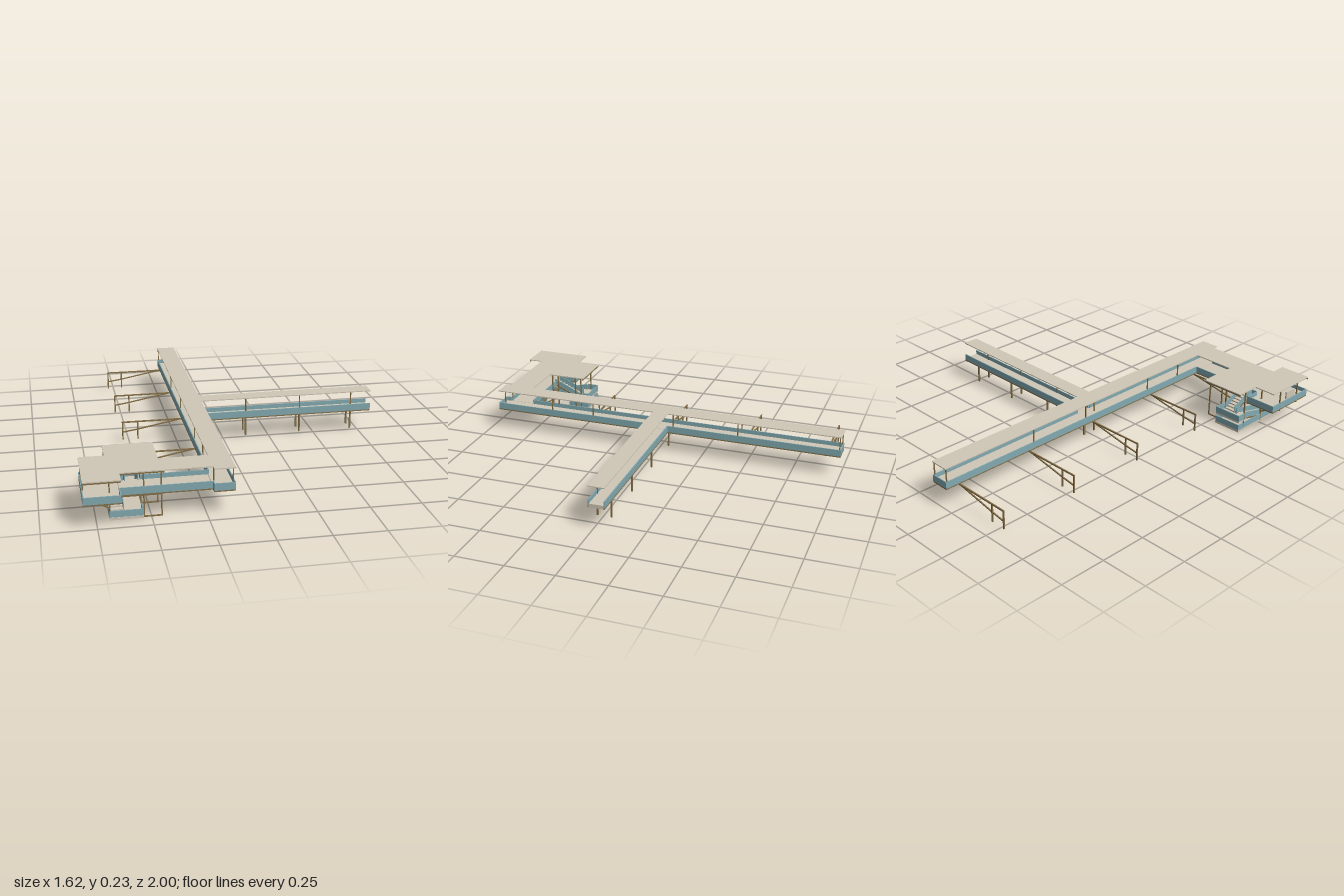
import * as THREE from 'three';

const mat = (name, color) => {
  const m = new THREE.MeshStandardMaterial({ color });
  m.name = name;
  return m;
};

export function createModel() {
  const root = new THREE.Group();
  root.name = 'elevatedWalkway';
  const slabTan = mat('slabTan', 0xcfc7b5);
  const teal = mat('panelTeal', 0x81a9b0);
  const brown = mat('steelBrown', 0x857048);

  const add = (name, geo, material) => {
    const m = new THREE.Mesh(geo, material);
    m.name = name;
    root.add(m);
    return m;
  };
  // Box given by its limits on each axis
  const box = (name, material, x0, x1, y0, y1, z0, z1) => {
    const g = new THREE.BoxGeometry(x1 - x0, y1 - y0, z1 - z0);
    g.translate((x0 + x1) / 2, (y0 + y1) / 2, (z0 + z1) / 2);
    return add(name, g, material);
  };
  const post = (name, x, z, y0, y1, t = 0.006) =>
    box(name, brown, x - t / 2, x + t / 2, y0, y1, z - t / 2, z + t / 2);
  // Square bar between two points in a plane of constant z
  const bar = (name, x0, y0, x1, y1, z, t = 0.006) => {
    const m = add(name, new THREE.BoxGeometry(Math.hypot(x1 - x0, y1 - y0), t, t), brown);
    m.position.set((x0 + x1) / 2, (y0 + y1) / 2, z);
    m.rotation.z = Math.atan2(y1 - y0, x1 - x0);
  };

  const DECK = 0.114, FLOOR = 0.132, RAIL = 0.154, ROOF = 0.222, TOP = 0.227;

  // Decks and roofs: x0, x1, z0, z1
  const mainRun = [-0.22, -0.12, -1, 0.95];
  const branch = [-0.12, 0.81, -0.06, 0.025];
  const link = [-0.64, -0.22, 0.78, 0.92];
  const landing = [-0.81, -0.64, 0.7, 1];
  const IN = 0.001;
  for (const [x0, x1, z0, z1] of [mainRun, branch, link, landing]) {
    box('deck', slabTan, x0 + IN, x1 - IN, DECK, FLOOR, z0 + IN, z1 - IN);
    box('roof', slabTan, x0, x1, ROOF, TOP, z0, z1);
  }
  box('stairRoof', slabTan, -0.69, -0.45, ROOF, TOP, 0.57, 0.78);
  // Thicker fascia under the landing and stair roofs
  box('roofEdge', brown, -0.81, -0.64, 0.215, ROOF, 0.994, 1);
  box('roofEdge', brown, -0.64, -0.44, 0.215, ROOF, 0.914, 0.92);
  box('roofEdge', brown, -0.69, -0.45, 0.215, ROOF, 0.57, 0.576);

  // Parapet panels with a beam along the deck edge
  const T = 0.005;
  const parapet = (x0, z0, x1, z1) => {
    const ex = x0 === x1 ? T / 2 : 0, ez = z0 === z1 ? T / 2 : 0;
    box('parapetPanel', teal, x0 - ex, x1 + ex, DECK + 0.005, RAIL, z0 - ez, z1 + ez);
    box('edgeBeam', brown, x0 - ex, x1 + ex, DECK - 0.001, DECK + 0.005, z0 - ez, z1 + ez);
  };
  parapet(-0.2175, -1, -0.2175, 0.78);
  parapet(-0.2175, 0.92, -0.2175, 0.95);
  parapet(-0.1225, -1, -0.1225, -0.06);
  parapet(-0.1225, 0.025, -0.1225, 0.95);
  parapet(-0.22, 0.9475, -0.12, 0.9475);
  parapet(-0.22, -0.9975, -0.12, -0.9975);
  parapet(-0.12, -0.0575, 0.81, -0.0575);
  parapet(-0.12, 0.0225, 0.81, 0.0225);
  parapet(-0.64, 0.9175, -0.22, 0.9175);
  parapet(-0.535, 0.7825, -0.22, 0.7825);
  parapet(-0.64, 0.7825, -0.612, 0.7825);
  parapet(-0.8075, 0.7, -0.8075, 1);
  parapet(-0.81, 0.9975, -0.64, 0.9975);
  parapet(-0.81, 0.7025, -0.64, 0.7025);
  parapet(-0.6425, 0.92, -0.6425, 1);
  parapet(-0.6425, 0.7, -0.6425, 0.78);
  box('noticeBoard', slabTan, -0.806, -0.798, RAIL, 0.195, 0.82, 0.89);

  // Slim roof posts
  for (const z of [0.91, 0.62, 0.375, -0.09, -0.45, -0.992])
    for (const x of [-0.215, -0.125]) post('roofPost', x, z, RAIL, ROOF, 0.005);
  for (const x of [-0.165, 0.12, 0.415, 0.7]) {
    post('roofPost', x, 0.02, FLOOR, ROOF, 0.005);
    // Branch supports
    for (const z of [0.02, -0.052]) post('supportPost', x, z, 0.018, DECK, 0.008);
  }
  for (const z of [0.912, 0.765]) post('roofPost', -0.805, z, RAIL, ROOF);

  // Outrigger frames beside the main run
  for (const z of [-0.92, -0.48, -0.04, 0.405, 0.765]) {
    for (const x of [-0.533, -0.453]) post('framePost', x, z, 0.015, DECK, 0.007);
    bar('frameTopBeam', -0.537, 0.111, -0.13, 0.111, z, 0.007);
    bar('frameTie', -0.533, 0.056, -0.453, 0.068, z);
    bar('frameBrace', -0.453, 0.068, -0.2, 0.115, z);
  }
  // Columns, braces and ground bars around the stair block
  for (const z of [0.765, 0.912]) {
    bar('landingBrace', -0.8, DECK, -0.69, 0.06, z);
    bar('landingBeam', -0.81, 0.11, -0.45, 0.11, z);
  }
  for (const z of [0.62, 0.765, 0.912]) {
    bar('groundBar', -0.54, 0.005, -0.45, 0.005, z);
    for (const x of [-0.687, -0.533, -0.453]) post('stairColumn', x, z, 0.004, ROOF);
  }

  // Ground slab and low walls
  box('groundSlab', slabTan, -0.69, -0.535, 0, 0.012, 0.575, 0.918);
  box('lowWall', teal, -0.69, -0.535, 0.012, 0.043, 0.911, 0.916);
  box('lowWall', teal, -0.69, -0.535, 0.012, 0.043, 0.575, 0.58);
  box('lowWall', teal, -0.69, -0.685, 0.012, 0.043, 0.58, 0.911);
  box('lowWall', teal, -0.54, -0.535, 0.012, 0.043, 0.58, 0.7);
  box('lowWall', teal, -0.54, -0.535, 0.012, 0.043, 0.85, 0.911);

  // Half landing with its panels
  box('halfLanding', slabTan, -0.69, -0.535, 0.054, 0.064, 0.575, 0.64);
  box('halfLandingPanel', teal, -0.69, -0.535, 0.064, 0.097, 0.575, 0.58);
  for (const x of [-0.69, -0.54])
    box('halfLandingPanel', teal, x, x + 0.005, 0.064, 0.097, 0.58, 0.64);

  // Slanted plate following a flight, from (z0, y0) to (z1, y1)
  const slope = (name, material, x, width, z0, y0, z1, y1, h) => {
    const s = new THREE.Shape();
    s.moveTo(z0, y0);
    s.lineTo(z1, y1);
    s.lineTo(z1, y1 + h);
    s.lineTo(z0, y0 + h);
    const g = new THREE.ExtrudeGeometry(s, { depth: width, bevelEnabled: false });
    g.rotateY(-Math.PI / 2).translate(x + width, 0, 0);
    add(name, g, material);
  };
  const flight = (x0, x1, z0, y0, z1, y1) => {
    const n = 8;
    for (let i = 0; i < n; i++) {
      const a = z0 + (z1 - z0) * i / n, b = z0 + (z1 - z0) * (i + 1) / n;
      const y = y0 + (y1 - y0) * (i + 1) / n;
      box('stairTread', slabTan, x0, x1, y - 0.007, y, Math.min(a, b), Math.max(a, b));
    }
    slope('stairSoffit', slabTan, x0, x1 - x0, z0, y0 - 0.008, z1, y1 - 0.008, 0.005);
    for (const x of [x0, x1 - 0.004]) {
      slope('stairStringer', brown, x - 0.001, 0.006, z0, y0 - 0.007, z1, y1 - 0.007, 0.009);
      slope('stairBalustrade', teal, x, 0.004, z0, y0 + 0.002, z1, y1 + 0.002, 0.031);
    }
  };
  flight(-0.684, -0.618, 0.85, 0.014, 0.64, 0.064);
  flight(-0.608, -0.542, 0.64, 0.064, 0.79, 0.13);

  // Small lamps under the roofs
  const lamp = (x, z) => box('lamp', brown, x - 0.008, x + 0.008, 0.214, ROOF, z - 0.008, z + 0.008);
  for (const x of [0.02, 0.32, 0.61]) lamp(x, -0.018);
  for (const z of [0.85, 0.41, -0.375, -0.79]) lamp(-0.17, z);

  return root;
}
